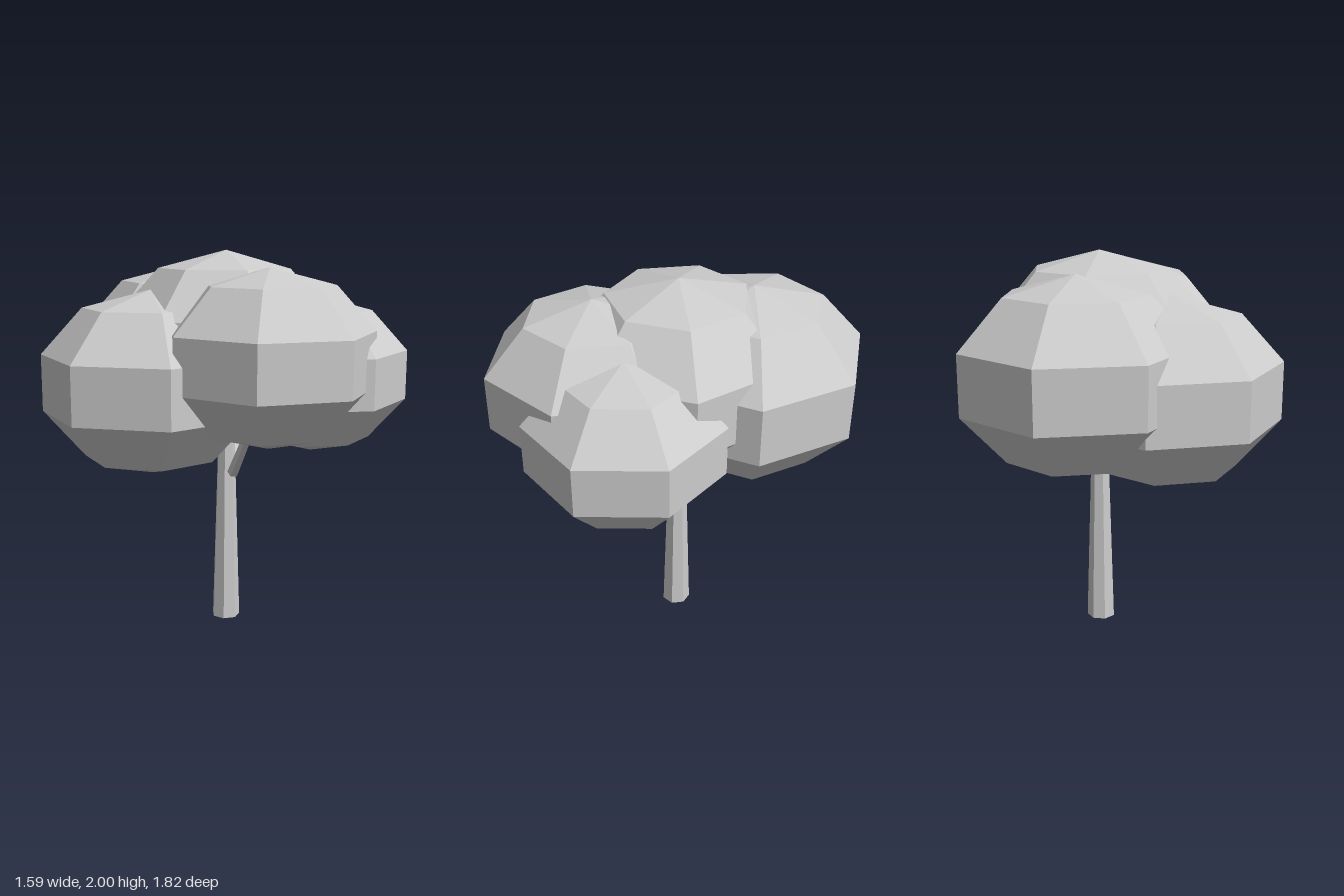
import * as THREE from 'three';

const rad = THREE.MathUtils.degToRad;

export function createModel() {
  const tree = new THREE.Group();
  tree.name = 'tree';
  const clay = new THREE.MeshStandardMaterial({ color: 0xcccccc, flatShading: true });
  clay.name = 'paleGrey';

  function add(name, geometry) {
    const mesh = new THREE.Mesh(geometry, clay);
    mesh.name = name;
    tree.add(mesh);
    return mesh;
  }

  // Foliage: squashed seven-sided spheres, turned so one corner points at the given angle (x towards z)
  const clumps = [
    ['crownClump', 0.115, 1.52, 0.0, 0.6, 23.1],
    ['frontClump', -0.037, 1.475, 0.382, 0.562, 99.7],
    ['backClump', 0.226, 1.43, -0.355, 0.612, -21.5],
    ['rightClump', -0.23, 1.327, -0.222, 0.597, 181],
    ['leftClump', 0.315, 1.37, 0.411, 0.51, 6.4],
  ];
  for (const [name, x, y, z, radius, angle] of clumps) {
    const clump = add(name, new THREE.SphereGeometry(radius, 7, 5));
    clump.scale.y = 0.8;
    clump.position.set(x, y, z);
    clump.rotation.y = rad(180 - angle);
  }

  // Trunk: tapered seven-sided post running up into the crown
  const trunk = add('trunk', new THREE.CylinderGeometry(0.04, 0.076, 1.2, 7));
  trunk.position.set(0.117, 0.6, 0.003);
  trunk.rotation.y = rad(-10);

  // Branches: thin tapered sticks leaning out into the foliage
  function branch(name, from, to, radius) {
    const a = new THREE.Vector3(...from), b = new THREE.Vector3(...to);
    const dir = b.clone().sub(a);
    const mesh = add(name, new THREE.CylinderGeometry(radius * 0.75, radius, dir.length(), 5));
    mesh.position.copy(a).add(b).multiplyScalar(0.5);
    mesh.quaternion.setFromUnitVectors(new THREE.Vector3(0, 1, 0), dir.normalize());
  }
  branch('leftBranch', [0.22, 0.84, -0.037], [0.42, 1.1, -0.1], 0.024);
  branch('rightBranch', [0.047, 0.84, 0.1], [-0.07, 1.15, 0.31], 0.03);

  return tree;
}
